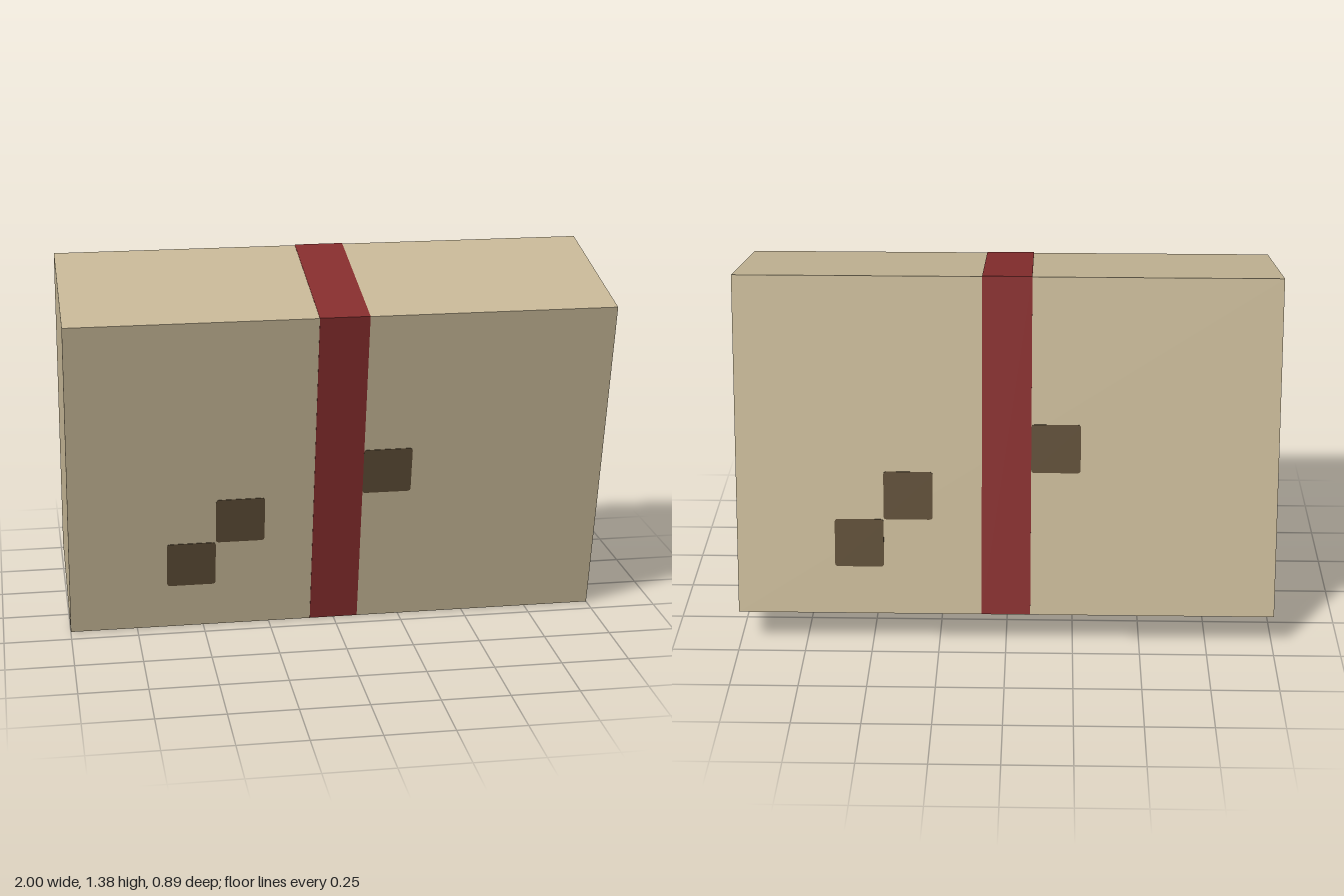
import * as THREE from 'three';

const U = 2 / 11;                 // grid unit of the block
const W = 11 * U, H = 7 * U, D = 3.5 * U;
const TILT = THREE.MathUtils.degToRad(12);
const E = 0.002;                  // thickness of painted details

function material(name, color) {
  const m = new THREE.MeshStandardMaterial({ color });
  m.name = name;
  return m;
}

// Square with slightly rounded corners, centred on the origin
function patchShape(size, r) {
  const h = size / 2, s = new THREE.Shape();
  s.moveTo(-h + r, -h);
  s.lineTo(h - r, -h);
  s.quadraticCurveTo(h, -h, h, -h + r);
  s.lineTo(h, h - r);
  s.quadraticCurveTo(h, h, h - r, h);
  s.lineTo(-h + r, h);
  s.quadraticCurveTo(-h, h, -h, h - r);
  s.lineTo(-h, -h + r);
  s.quadraticCurveTo(-h, -h, -h + r, -h);
  return s;
}

export function createModel() {
  const model = new THREE.Group();
  model.name = 'tiltedBlock';
  const tan = material('tan', 0xc8b998);
  const red = material('darkRed', 0x872e2e);
  const brown = material('darkBrown', 0x5e4e37);

  const add = (name, geometry, mat, parent) => {
    const mesh = new THREE.Mesh(geometry, mat);
    mesh.name = name;
    parent.add(mesh);
    return mesh;
  };

  // Main block
  add('body', new THREE.BoxGeometry(W, H, D), tan, model);

  // Band over the front, top and back; the underside stays plain
  add('band', new THREE.BoxGeometry(U, H, D + 2 * E), red, model).position.y = E;

  // Square patches, repeated on the front and back
  const patch = new THREE.ExtrudeGeometry(patchShape(U, 0.012),
    { depth: E, bevelEnabled: false, curveSegments: 4 });
  for (const [name, turn] of [['frontPatches', 0], ['backPatches', Math.PI]]) {
    const side = new THREE.Group();
    side.name = name;
    side.rotation.y = turn;
    for (const [col, row] of [[-3, 1], [-2, 2], [1, 3]]) {
      add('patch', patch, brown, side).position.set(col * U, (row + 0.5) * U - H / 2, D / 2);
    }
    model.add(side);
  }

  // Lean forward, resting on the lower front edge
  model.rotation.x = TILT;
  model.position.y = (H * Math.cos(TILT) + D * Math.sin(TILT)) / 2;
  const root = new THREE.Group();
  root.name = 'model';
  root.add(model);
  return root;
}
